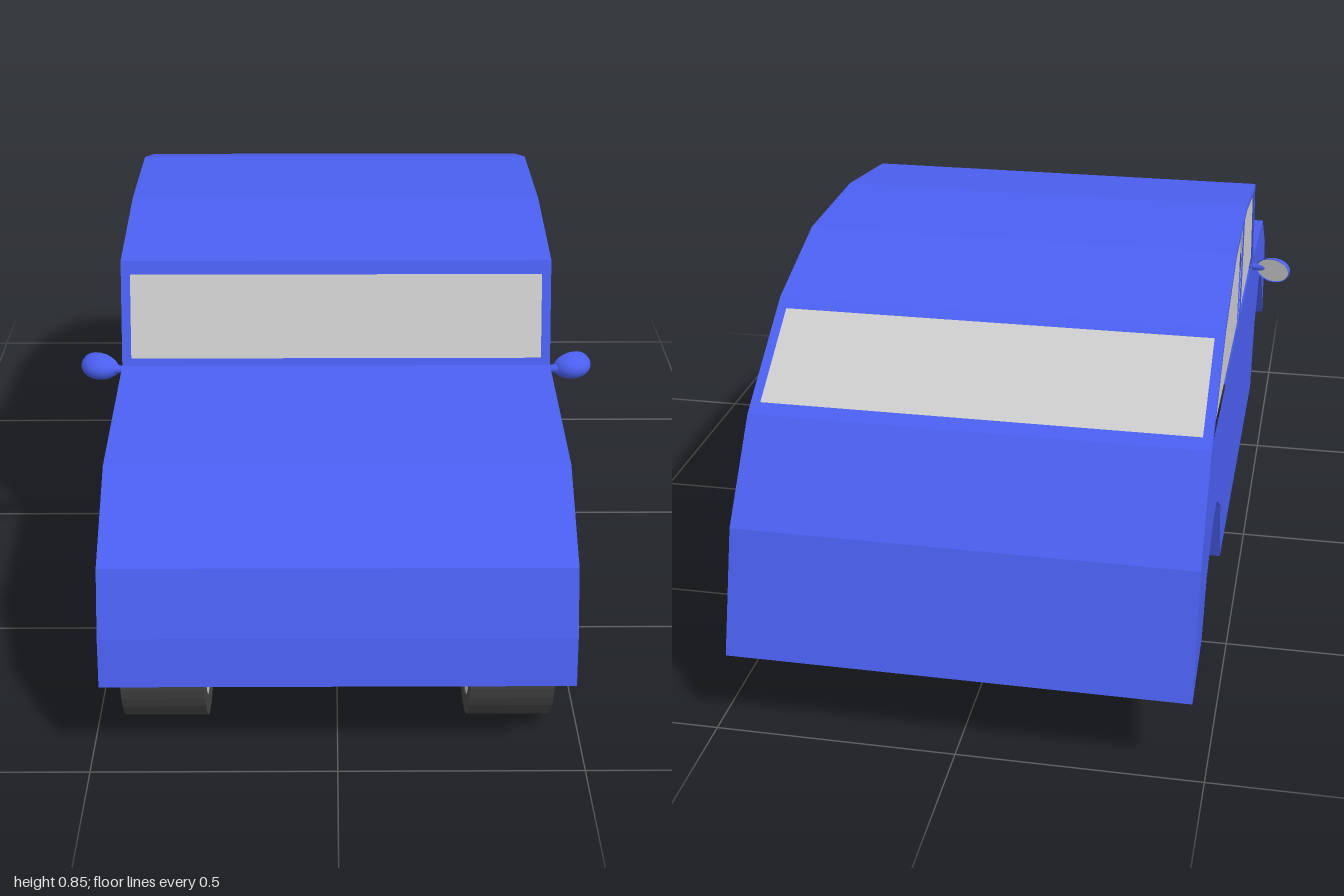
import * as THREE from 'three';

const paint = new THREE.MeshStandardMaterial({ color: 0x4a5ff0, side: THREE.DoubleSide, flatShading: true });
const gloss = new THREE.MeshStandardMaterial({ color: 0x4a5ff0, side: THREE.DoubleSide });
const grey = new THREE.MeshStandardMaterial({ color: 0xcccccc, side: THREE.DoubleSide });
const rubber = new THREE.MeshStandardMaterial({ color: 0x444444, side: THREE.DoubleSide, flatShading: true });

const HALF = 0.47;
// Outlines are [z, y] pairs
const hood = [[0.985, 0.2], [1, 0.21], [0.98, 0.31], [0.93, 0.44], [0.745, 0.565], [0.36, 0.597]];
const roof = [[0.285, 0.815], [0, 0.853], [-0.3, 0.847], [-0.535, 0.772]];
const tail = [[-0.775, 0.61], [-0.92, 0.425], [-0.995, 0.175]];
const rearArch = [[-0.83, 0.215], [-0.765, 0.32], [-0.65, 0.39], [-0.565, 0.39], [-0.455, 0.32], [-0.395, 0.16]];
const frontArch = [[0.535, 0.16], [0.59, 0.32], [0.695, 0.407], [0.79, 0.407], [0.9, 0.31], [0.985, 0.2]];
const sideWindows = [
  [[0.325, 0.61], [0.262, 0.803], [0, 0.842], [-0.068, 0.842], [-0.068, 0.61]],
  [[-0.122, 0.61], [-0.122, 0.84], [-0.295, 0.835], [-0.525, 0.757], [-0.74, 0.615]],
];

function add(parent, name, geometry, material) {
  const mesh = new THREE.Mesh(geometry, material);
  mesh.name = name;
  parent.add(mesh);
  return mesh;
}

// Sheet that follows a [z, y] outline between two x positions
function strip(points, x0, x1) {
  const v = [];
  for (let i = 0; i < points.length - 1; i++) {
    const [za, ya] = points[i], [zb, yb] = points[i + 1];
    v.push(x0, ya, za, x1, ya, za, x1, yb, zb, x0, ya, za, x1, yb, zb, x0, yb, zb);
  }
  const g = new THREE.BufferGeometry();
  g.setAttribute('position', new THREE.Float32BufferAttribute(v, 3));
  g.computeVertexNormals();
  return g;
}

// Sloping panel from a to b with a window opening and recessed glass
function glazedPanel(parent, name, a, b, t0, t1) {
  const at = (t, inset = 0) => {
    const dz = b[0] - a[0], dy = b[1] - a[1], l = Math.hypot(dz, dy);
    return [a[0] + dz * t - (dy / l) * -inset, a[1] + dy * t - (dz / l) * inset];
  };
  const w = 0.45;
  add(parent, name + 'LowerFrame', strip([a, at(t0)], -HALF, HALF), paint);
  add(parent, name + 'UpperFrame', strip([at(t1), b], -HALF, HALF), paint);
  for (const s of [-1, 1]) {
    add(parent, name + 'SideFrame', strip([at(t0), at(t1)], s * w, s * HALF), paint);
  }
  add(parent, name, strip([at(t0 - 0.01, -0.004), at(t1 + 0.01, -0.004)], -w - 0.003, w + 0.003), grey);
}

const toSide = (shape) => new THREE.ShapeGeometry(shape).rotateY(-Math.PI / 2);
const outline = (points) => new THREE.Shape(points.map(([z, y]) => new THREE.Vector2(z, y)));

function makeBody() {
  const body = new THREE.Group();
  body.name = 'body';
  add(body, 'hood', strip(hood, -HALF, HALF), paint);
  add(body, 'roof', strip(roof, -HALF, HALF), paint);
  add(body, 'tail', strip(tail, -HALF, HALF), paint);
  glazedPanel(body, 'windscreen', hood[hood.length - 1], roof[0], 0.07, 0.87);
  glazedPanel(body, 'rearWindow', roof[roof.length - 1], tail[0], 0.1, 0.9);

  for (const s of [-1, 1]) {
    // Side panel with window openings
    const side = outline([...hood, ...roof, ...tail, ...rearArch, ...frontArch.slice(0, -1)]);
    side.holes = sideWindows.map(outline);
    add(body, 'sidePanel', toSide(side), paint).position.x = s * HALF;
    for (const w of sideWindows) {
      add(body, 'sideWindow', toSide(outline(w)), grey).position.x = s * (HALF - 0.004);
    }
    // Wheel arch linings
    add(body, 'frontArch', strip(frontArch, s * 0.24, s * HALF), paint);
    add(body, 'rearArch', strip(rearArch, s * 0.225, s * HALF), paint);
  }
  return body;
}

function makeWheel() {
  const wheel = new THREE.Group();
  wheel.name = 'wheel';
  const R = 0.177, r = 0.138, w = 0.085;
  const profile = [[r, -w], [R, -w], [R, w], [r, w], [r, -w]].map(([x, y]) => new THREE.Vector2(x, y));
  add(wheel, 'tyre', new THREE.LatheGeometry(profile, 40).rotateZ(Math.PI / 2), rubber);

  // Rim disc with a centre bore and a ring of slots
  const disc = new THREE.Shape().absarc(0, 0, r, 0, Math.PI * 2);
  disc.holes.push(new THREE.Path().absarc(0, 0, 0.042, 0, Math.PI * 2, true));
  for (let i = 0; i < 8; i++) {
    const a = (i * Math.PI) / 4, d = 0.21;
    const slot = new THREE.Path();
    slot.absarc(0, 0, 0.09, a - d, a + d, false);
    slot.absarc(0, 0, 0.073, a + d, a - d, true);
    slot.closePath();
    disc.holes.push(slot);
  }
  const rim = new THREE.ExtrudeGeometry(disc, { depth: 0.01, bevelEnabled: false, curveSegments: 20 });
  rim.translate(0, 0, -0.005).rotateY(-Math.PI / 2);
  for (const s of [-1, 1]) add(wheel, 'rim', rim, grey).position.x = s * (w - 0.008);
  return wheel;
}

function makeMirror(s) {
  const mirror = new THREE.Group();
  mirror.name = 'wingMirror';
  const arm = new THREE.CylinderGeometry(0.013, 0.007, 0.045, 10).rotateZ(-s * Math.PI / 2);
  add(mirror, 'mirrorArm', arm, gloss).position.set(s * 0.487, 0.58, 0.342);
  const head = new THREE.Group();
  head.name = 'mirrorHead';
  const dome = new THREE.SphereGeometry(1, 20, 10, 0, Math.PI * 2, 0, Math.PI / 2).rotateX(Math.PI / 2);
  add(head, 'mirrorShell', dome.scale(0.045, 0.03, 0.044), gloss);
  const glass = new THREE.CircleGeometry(1, 20).rotateY(Math.PI).scale(0.043, 0.028, 1);
  add(head, 'mirrorGlass', glass, grey).position.z = 0.002;
  head.position.set(s * 0.521, 0.58, 0.32);
  head.rotation.y = s * 0.4;
  mirror.add(head);
  return mirror;
}

export function createModel() {
  const car = new THREE.Group();
  car.name = 'car';
  car.add(makeBody());
  for (const s of [-1, 1]) {
    car.add(makeMirror(s));
    for (const z of [0.755, -0.61]) {
      const wheel = makeWheel();
      wheel.position.set(s * 0.353, 0.177, z);
      car.add(wheel);
    }
  }
  return car;
}
